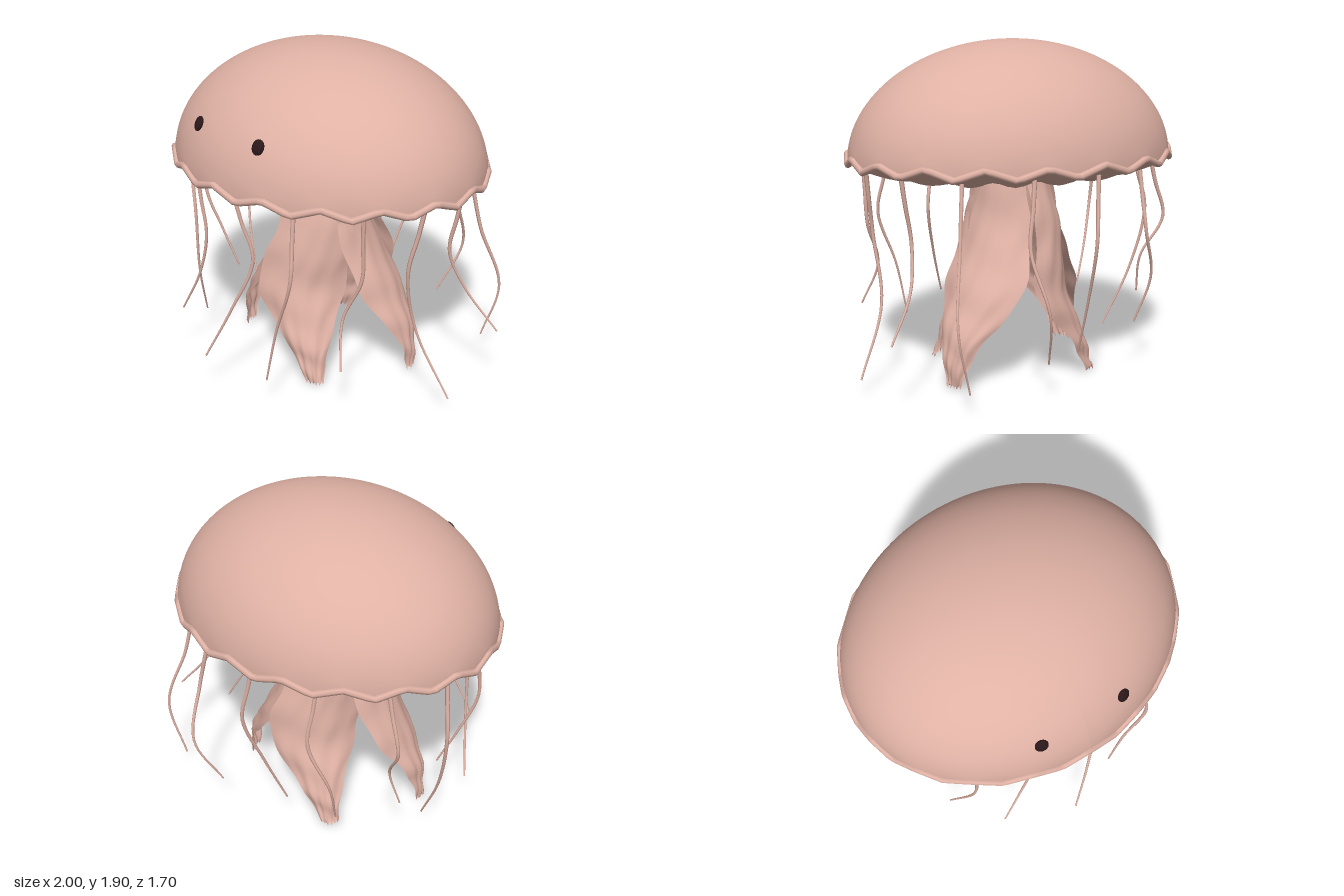
import * as THREE from 'three';

const V = (x, y, z) => new THREE.Vector3(x, y, z);
const WAVES = 18, RX = 0.965, RZ = 0.808, CX = -0.015, CZ = -0.02;

// Triangle wave around the rim, peaking at the front
const zigzag = (phi) => {
  const t = (((phi * WAVES) / (2 * Math.PI)) % 1 + 1) % 1;
  return Math.abs(t - 0.5) * 4 - 1;
};
const rimY = (phi) => 1.262 + 0.026 * zigzag(phi);

// Elliptical lathe whose vertices are moved by rule(radius 0..1, y, phi) -> y
function ellipseLathe(profile, rule) {
  const geo = new THREE.LatheGeometry(profile.map(([r, y]) => new THREE.Vector2(r, y)), 108);
  const p = geo.attributes.position;
  for (let i = 0; i < p.count; i++) {
    const x = p.getX(i), z = p.getZ(i);
    const phi = Math.atan2(x, z);
    p.setXYZ(i, x * RX, rule(Math.hypot(x, z), p.getY(i), phi), z * RZ);
  }
  geo.computeVertexNormals();
  return geo;
}

// Tube that narrows towards its end
function taperedTube(points, radius, endScale) {
  const curve = new THREE.CatmullRomCurve3(points), segs = 28, sides = 6;
  const geo = new THREE.TubeGeometry(curve, segs, radius, sides);
  const p = geo.attributes.position, v = V(0, 0, 0);
  for (let i = 0; i <= segs; i++) {
    const c = curve.getPointAt(i / segs), s = 1 + (endScale - 1) * (i / segs);
    for (let j = 0; j <= sides; j++) {
      const k = i * (sides + 1) + j;
      v.fromBufferAttribute(p, k).sub(c).multiplyScalar(s).add(c);
      p.setXYZ(k, v.x, v.y, v.z);
    }
  }
  return geo;
}

// Curled, wrinkled leaf following a path; across is its horizontal width direction
function armGeometry(points, widths, across, outward, seed) {
  const path = new THREE.CatmullRomCurve3(points);
  const wide = new THREE.SplineCurve(widths.map((w, i) => new THREE.Vector2(i, w)));
  const rows = 44, cols = 16, pos = [], idx = [];
  for (let i = 0; i <= rows; i++) {
    const t = i / rows, c = path.getPoint(t), w = wide.getPoint(t).y;
    for (let j = 0; j <= cols; j++) {
      const s = (j / cols) * 2 - 1;
      const edge = w * (1 + 0.03 * Math.sin(t * 31 + s * 4 + seed));
      const curl = w * 0.4 * (0.5 - s * s);
      const wrinkle = 0.009 * Math.sin(t * 23 + s * 5 + seed) * Math.sin(s * 7 - t * 9);
      const v = c.clone().addScaledVector(across, s * edge)
        .addScaledVector(outward, curl + wrinkle * (0.4 + t));
      // Ragged tip
      if (i === rows) v.y += 0.015 * (j % 3);
      pos.push(v.x, v.y, v.z);
      if (i < rows && j < cols) {
        const a = i * (cols + 1) + j, b = a + cols + 1;
        idx.push(a, b, a + 1, b, b + 1, a + 1);
      }
    }
  }
  const geo = new THREE.BufferGeometry();
  geo.setAttribute('position', new THREE.Float32BufferAttribute(pos, 3));
  geo.setIndex(idx);
  geo.computeVertexNormals();
  return geo;
}

export function createModel() {
  const group = new THREE.Group();
  const flesh = new THREE.MeshStandardMaterial({ color: 0xdfb1a4, side: THREE.DoubleSide });
  flesh.name = 'dusty pink';
  const dark = new THREE.MeshStandardMaterial({ color: 0x2b1719 });
  dark.name = 'dark brown';
  const add = (name, geo, mat, parent = group) => {
    const m = new THREE.Mesh(geo, mat);
    m.name = name;
    parent.add(m);
    return m;
  };

  // Bell: dome, fluted underside and zigzag rim
  const bell = new THREE.Group();
  bell.name = 'bell';
  bell.position.set(CX, 0, CZ);
  group.add(bell);
  const dome = [];
  for (let i = 0; i <= 32; i++) {
    const a = (i / 32) * Math.PI / 2;
    dome.push([Math.max(0, Math.cos(a)), 1.25 + 0.66 * Math.sin(a) ** 1.02]);
  }
  add('dome', ellipseLathe(dome, (r, y, phi) => {
    const k = Math.max(0, 1 - (y - 1.25) / 0.08);
    return y + (rimY(phi) - 1.25) * k;
  }), flesh, bell);

  const under = new THREE.SplineCurve([[0.001, 1.22], [0.12, 1.195], [0.3, 1.175], [0.55, 1.168],
    [0.78, 1.185], [1, 1.255]].map(([x, y]) => new THREE.Vector2(x, y)));
  add('underside', ellipseLathe(under.getPoints(20).map((p) => [p.x, p.y]), (r, y, phi) =>
    y + Math.cos(phi * WAVES) * 0.014 * Math.min(1, r * 2.5)), flesh, bell);

  const rim = new THREE.CurvePath();
  const rimPoint = (i) => {
    const phi = (i / (WAVES * 2)) * Math.PI * 2;
    return V(Math.sin(phi) * 0.966, rimY(phi), Math.cos(phi) * 0.81);
  };
  for (let i = 0; i < WAVES * 2; i++) rim.add(new THREE.LineCurve3(rimPoint(i), rimPoint(i + 1)));
  add('rim', new THREE.TubeGeometry(rim, WAVES * 8, 0.02, 8, true), flesh, bell);

  // Eyes, set flat against the dome
  for (const x of [-0.265, 0.235]) {
    const eye = add('eye', new THREE.SphereGeometry(1, 20, 14), dark);
    eye.scale.set(0.037, 0.042, 0.016);
    eye.position.set(x, 1.54, 0.688);
    eye.rotation.set(-0.42, x * 0.9, 0, 'YXZ');
  }

  // Rim tentacles, evenly spaced: [upper x, z, lower x, z, end x, y, z]
  const tentacles = [
    [0.13, 0.66, 0.04, 0.75, -0.08, 0.25, 0.85], [0.47, 0.69, 0.35, 0.69, 0.27, 0.19, 0.70],
    [0.70, 0.40, 0.61, 0.45, 0.68, 0.36, 0.53], [0.80, 0.16, 0.80, 0.08, 0.98, 0.10, 0.00],
    [0.77, -0.20, 0.83, -0.28, 1.00, 0.39, -0.37], [0.70, -0.55, 0.78, -0.65, 0.69, 0.14, -0.62],
    [0.38, -0.72, 0.34, -0.83, 0.25, 0.24, -0.71], [-0.02, -0.77, -0.06, -0.66, -0.10, 0.19, -0.53],
    [-0.44, -0.70, -0.54, -0.64, -0.50, 0.30, -0.55], [-0.83, -0.43, -0.72, -0.36, -0.75, 0.39, -0.30],
    [-0.94, -0.16, -0.87, -0.11, -0.71, 0.12, -0.04], [-0.84, 0.25, -0.76, 0.20, -0.66, 0.36, 0.15],
    [-0.58, 0.52, -0.60, 0.50, -0.71, 0.12, 0.38], [-0.30, 0.65, -0.37, 0.66, -0.50, 0.33, 0.70],
  ];
  tentacles.forEach(([ux, uz, lx, lz, ex, ey, ez], i) => {
    const a = (86 - (i * 360) / 14) * Math.PI / 180;
    const sx = 0.88 * Math.cos(a) + CX * 0.5, sz = 0.72 * Math.sin(a);
    add('tentacle', taperedTube([
      V(sx, 1.24, sz), V(sx * 0.6 + ux * 0.4, 1.08, sz * 0.6 + uz * 0.4), V(ux, 0.86, uz),
      V(lx, 0.43 + ey * 0.5, lz), V(ex, ey, ez),
    ], 0.013, 0.4), flesh);
  });

  // Oral arms: two shapes, each repeated at half a turn
  const shapes = [
    { path: [[0.08, 1.22, 0.12], [0.12, 0.87, 0.22], [0.09, 0.52, 0.30], [0.22, 0.22, 0.36], [0.295, 0.01, 0.37]], angle: 50 },
    { path: [[0.15, 1.22, -0.05], [0.19, 0.87, -0.08], [0.34, 0.52, -0.15], [0.50, 0.24, -0.18], [0.535, 0.01, -0.18]], angle: -24 },
  ];
  const widths = [0.165, 0.22, 0.25, 0.12, 0.05];
  shapes.forEach(({ path, angle }, k) => {
    for (const s of [1, -1]) {
      const a = angle * Math.PI / 180;
      const out = V(s * Math.cos(a), 0, s * Math.sin(a));
      const across = V(out.z, 0, -out.x);
      const pts = path.map(([x, y, z]) => V(s * x + CX, y, s * z + CZ));
      add('oralArm', armGeometry(pts, widths, across, out, k * 2 + s), flesh);
    }
  });
  return group;
}
